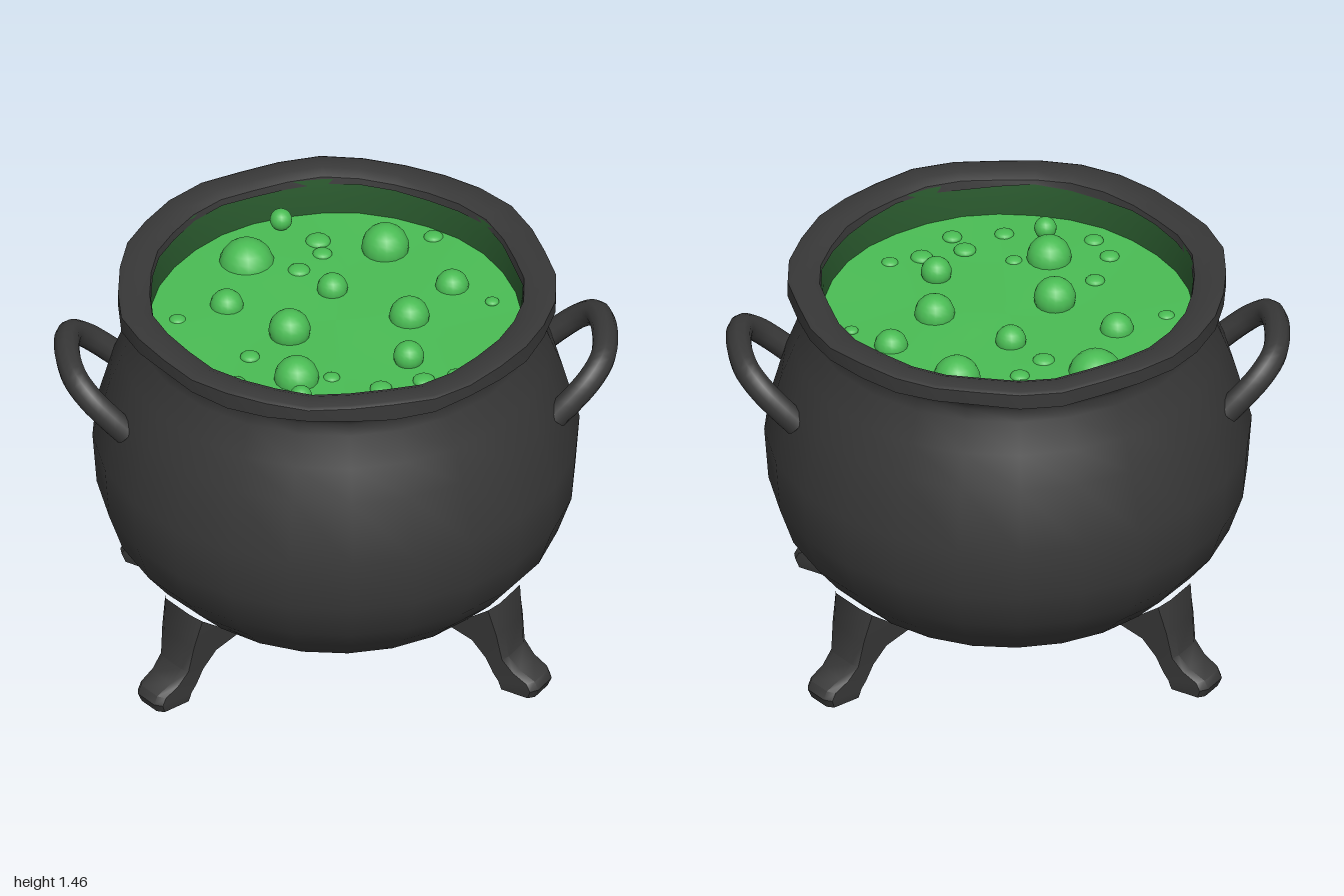
import * as THREE from 'three';
import { toCreasedNormals } from 'three/addons/utils/BufferGeometryUtils.js';

const iron = new THREE.MeshStandardMaterial({ color: 0x383838 });
iron.name = 'castIron';
const brew = new THREE.MeshStandardMaterial({ color: 0x4abc54 });
brew.name = 'greenBrew';
const stain = new THREE.MeshStandardMaterial({ color: 0x2a5a2e });
stain.name = 'stainedWall';

const LEVEL = 1.29; // height of the liquid
const OVAL = 1.025; // the pot is slightly deeper than wide

function add(parent, name, geometry, material) {
  const mesh = new THREE.Mesh(geometry, material);
  mesh.name = name;
  parent.add(mesh);
  return mesh;
}

const lathe = (points, sides) =>
  new THREE.LatheGeometry(points.map(([r, y]) => new THREE.Vector2(r, y)), sides);

// Uneven hand-forged edge: shifts the rim in and out and up and down
function hammer(geometry) {
  const p = geometry.attributes.position;
  for (let i = 0; i < p.count; i++) {
    const x = p.getX(i), y = p.getY(i), z = p.getZ(i);
    const a = Math.atan2(z, x);
    const k = 1 + 0.008 * Math.sin(7 * a) + 0.006 * Math.sin(11 * a + 1);
    const lift = y > 1.42 ? 0.004 * Math.sin(9 * a + 2) : 0.006 * Math.sin(8 * a);
    p.setXYZ(i, x * k, y + lift, z * k);
  }
  return toCreasedNormals(geometry, 0.6);
}

// Leg: rounded-rectangle sections [outer r, outer y, inner r, inner y, width], top to bottom
function legGeometry() {
  const sections = [
    [0.72, 0.37, 0.50, 0.21, 0.21],
    [0.735, 0.25, 0.60, 0.18, 0.18],
    [0.745, 0.14, 0.655, 0.12, 0.155],
    [0.79, 0.095, 0.68, 0.06, 0.145],
    [0.85, 0.065, 0.695, 0.03, 0.14],
    [0.865, 0.035, 0.70, 0.015, 0.14],
    [0.85, 0.0, 0.705, 0.0, 0.13],
  ];
  const ring = [[1, 0.65], [1, -0.65], [0.75, -1], [-0.75, -1],
    [-1, -0.65], [-1, 0.65], [-0.75, 1], [0.75, 1]];
  const n = ring.length, pos = [], idx = [];
  for (const [ro, yo, ri, yi, w] of sections) {
    for (const [u, v] of ring) {
      const t = (u + 1) / 2;
      pos.push(ri + (ro - ri) * t, yi + (yo - yi) * t, v * w / 2);
    }
  }
  for (let i = 0; i < sections.length - 1; i++) {
    for (let j = 0; j < n; j++) {
      const a = i * n + j, b = i * n + (j + 1) % n;
      idx.push(a, a + n, b, b, a + n, b + n);
    }
  }
  const base = (sections.length - 1) * n;
  for (let j = 1; j < n - 1; j++) idx.push(base, base + j + 1, base + j);
  const g = new THREE.BufferGeometry();
  g.setAttribute('position', new THREE.Float32BufferAttribute(pos, 3));
  g.setIndex(idx);
  return toCreasedNormals(g, 0.7);
}

export function createModel() {
  const model = new THREE.Group();
  model.name = 'cauldron';

  // Round pot with a flared neck
  const pot = add(model, 'pot', lathe([
    [0, 0.13], [0.22, 0.148], [0.46, 0.215], [0.615, 0.29], [0.72, 0.395], [0.80, 0.495],
    [0.85, 0.64], [0.865, 0.84], [0.805, 1.06], [0.76, 1.18], [0.715, 1.29],
    [0.71, 1.335], [0.725, 1.365], [0.765, 1.39],
  ], 24), iron);
  pot.scale.z = OVAL;

  // Thick rim
  const rim = add(model, 'rim', hammer(lathe([
    [0.70, 1.375], [0.76, 1.38], [0.778, 1.39], [0.778, 1.445], [0.765, 1.452],
    [0.70, 1.452], [0.665, 1.435], [0.66, 1.41],
  ], 32)), iron);
  rim.scale.z = OVAL;

  // Inner wall above the liquid
  const wall = add(model, 'innerWall', lathe([[0.668, 1.43], [0.66, 1.36], [0.66, LEVEL - 0.02]], 32), stain);
  wall.scale.z = OVAL;

  // Liquid surface with a faint swell
  const liquid = lathe([[0.67, LEVEL], [0.5, LEVEL], [0.33, LEVEL], [0.16, LEVEL], [0, LEVEL]], 32);
  const lp = liquid.attributes.position;
  for (let i = 0; i < lp.count; i++) {
    lp.setY(i, LEVEL + 0.005 * Math.sin(9 * lp.getX(i)) * Math.cos(8 * lp.getZ(i)));
  }
  liquid.computeVertexNormals();
  add(model, 'liquid', liquid, brew).scale.z = OVAL;

  // Bubbles: x, z, radius, height of centre above the liquid
  const bubbles = [
    [-0.29, -0.4, 0.1, -0.02], [0.205, -0.44, 0.085, 0.01], [0, -0.19, 0.055, 0.01],
    [-0.38, -0.12, 0.06, 0], [0.425, -0.19, 0.06, 0], [-0.17, 0.075, 0.075, 0.02],
    [0.26, 0.005, 0.072, 0.01], [-0.165, 0.365, 0.08, 0.01], [0.24, 0.27, 0.055, 0.02],
    [-0.155, -0.595, 0.04, 0.035], [-0.16, 0.52, 0.04, 0.035],
  ];
  const bubble = new THREE.SphereGeometry(1, 16, 12);
  for (const [x, z, r, h] of bubbles) {
    const b = add(model, 'bubble', bubble, brew);
    b.position.set(x, LEVEL + h, z);
    b.scale.setScalar(r);
  }

  // Small swellings about to form bubbles
  const swellings = [
    [-0.11, -0.32, 0.04], [-0.03, -0.5, 0.045], [-0.02, -0.42, 0.035], [0.38, -0.5, 0.035],
    [-0.32, 0.21, 0.035], [-0.04, 0.36, 0.03], [0.13, 0.44, 0.04], [0.285, 0.4, 0.04],
    [0.17, 0.53, 0.035], [-0.015, 0.54, 0.035], [-0.33, 0.48, 0.035], [0.4, 0.37, 0.03],
    [-0.38, 0.37, 0.035], [-0.56, -0.04, 0.03], [0.56, -0.08, 0.025],
  ];
  for (const [x, z, r] of swellings) {
    const s = add(model, 'swelling', bubble, brew);
    s.position.set(x, LEVEL, z);
    s.scale.set(r, r * 0.5, r);
  }

  // Arched side handles, leaning outward: t runs up the slope, z along the pot
  const half = [[-0.15, 0.25], [0.2, 0.237], [0.58, 0.21], [0.87, 0.155], [0.99, 0.07]];
  const arch = [...half, ...half.slice().reverse().map(([t, z]) => [t, -z])];
  const path = new THREE.CatmullRomCurve3(
    arch.map(([t, z]) => new THREE.Vector3(0.785 + 0.168 * t, 1.035 + 0.162 * t, z)));
  const handle = new THREE.TubeGeometry(path, 32, 0.046, 10);
  add(model, 'leftHandle', handle, iron);
  add(model, 'rightHandle', handle, iron).rotation.y = Math.PI;

  // Four splayed legs
  const leg = legGeometry();
  const splay = THREE.MathUtils.degToRad(35);
  for (const a of [splay, -splay, Math.PI - splay, Math.PI + splay]) {
    add(model, 'leg', leg, iron).rotation.y = a;
  }

  return model;
}
